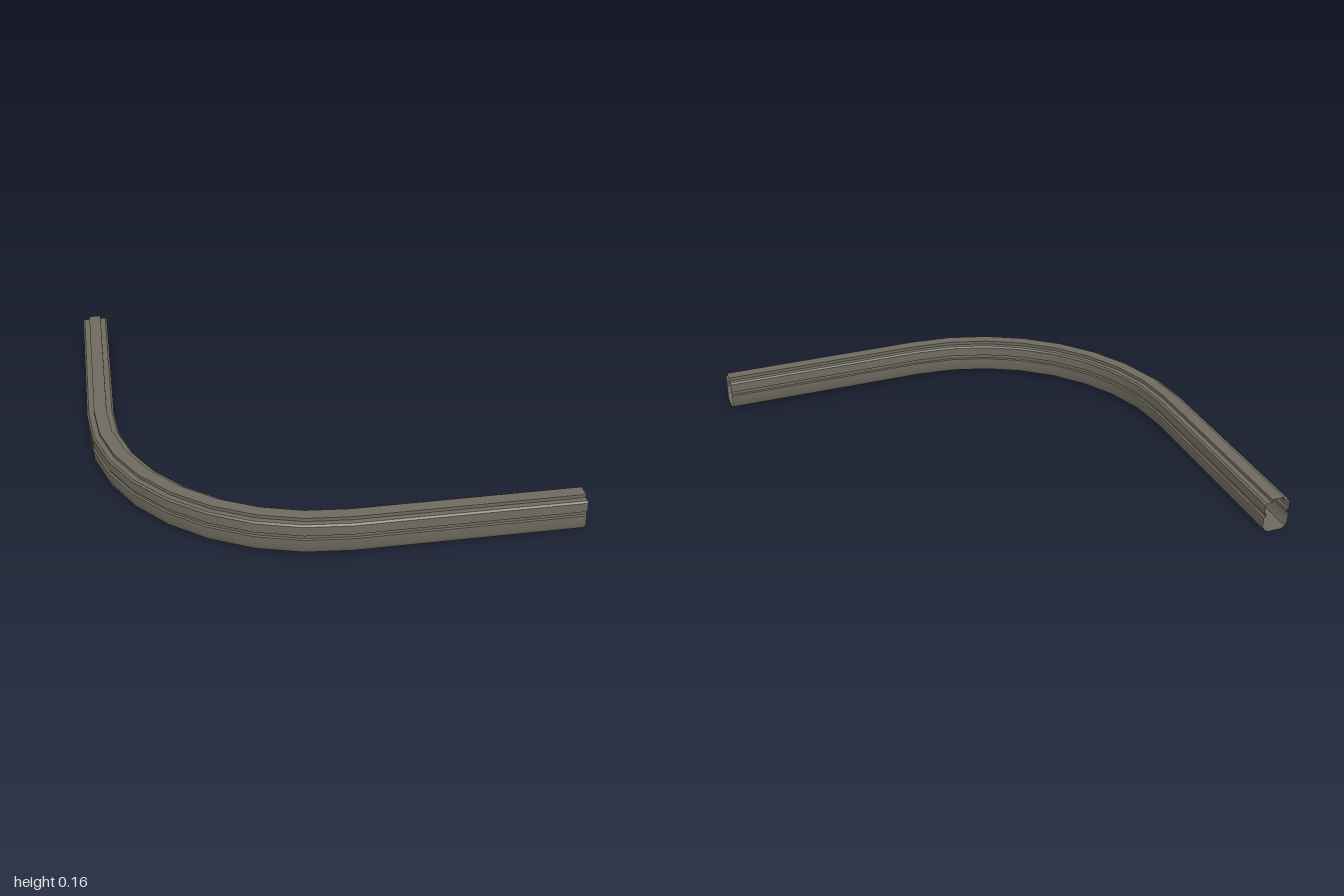
import * as THREE from 'three';
import { toCreasedNormals } from 'three/addons/utils/BufferGeometryUtils.js';

// Right half of the rail section: [offset from centre line, height], bottom to top
const HALF = [
  [0.032, 0], [0.05, 0.01], [0.06, 0.032], [0.06, 0.075], [0.051, 0.078],
  [0.051, 0.093], [0.06, 0.096], [0.06, 0.138], [0.052, 0.145], [0.028, 0.145], [0.028, 0.16],
];
const BEND = 0.03;      // bend centre is at x = BEND, z = -BEND
const RADIUS = 0.97;
const STEPS = 8;

// Stations along the path: centre point and outward direction in the ground plane
function pathStations() {
  const stations = [{ x: BEND - RADIUS, z: -1, nx: -1, nz: 0 }];
  for (let i = 0; i <= STEPS; i++) {
    const a = (i / STEPS) * Math.PI / 2;
    const nx = -Math.cos(a), nz = Math.sin(a);
    stations.push({ x: BEND + RADIUS * nx, z: -BEND + RADIUS * nz, nx, nz });
  }
  stations.push({ x: 1, z: RADIUS - BEND, nx: 0, nz: 1 });
  return stations;
}

// Sweep a closed section along the path, leaving both ends open
function sweep(section, stations) {
  const positions = [], indices = [], n = section.length;
  for (const s of stations) {
    for (const [u, y] of section) positions.push(s.x + s.nx * u, y, s.z + s.nz * u);
  }
  for (let i = 0; i < stations.length - 1; i++) {
    for (let j = 0; j < n; j++) {
      const k = (j + 1) % n;
      const a = i * n + j, b = i * n + k, c = a + n, d = b + n;
      indices.push(a, c, b, b, c, d);
    }
  }
  const geometry = new THREE.BufferGeometry();
  geometry.setAttribute('position', new THREE.Float32BufferAttribute(positions, 3));
  geometry.setIndex(indices);
  return toCreasedNormals(geometry, 0.6);
}

export function createModel() {
  const group = new THREE.Group();
  group.name = 'curvedRail';

  const metal = new THREE.MeshStandardMaterial({ color: 0x6e6a5f, side: THREE.DoubleSide });
  metal.name = 'grey brown metal';

  // Hollow rail with side grooves and a raised top rib
  const section = [...HALF, ...HALF.map(([u, y]) => [-u, y]).reverse()];
  const rail = new THREE.Mesh(sweep(section, pathStations()), metal);
  rail.name = 'rail';
  group.add(rail);
  return group;
}
